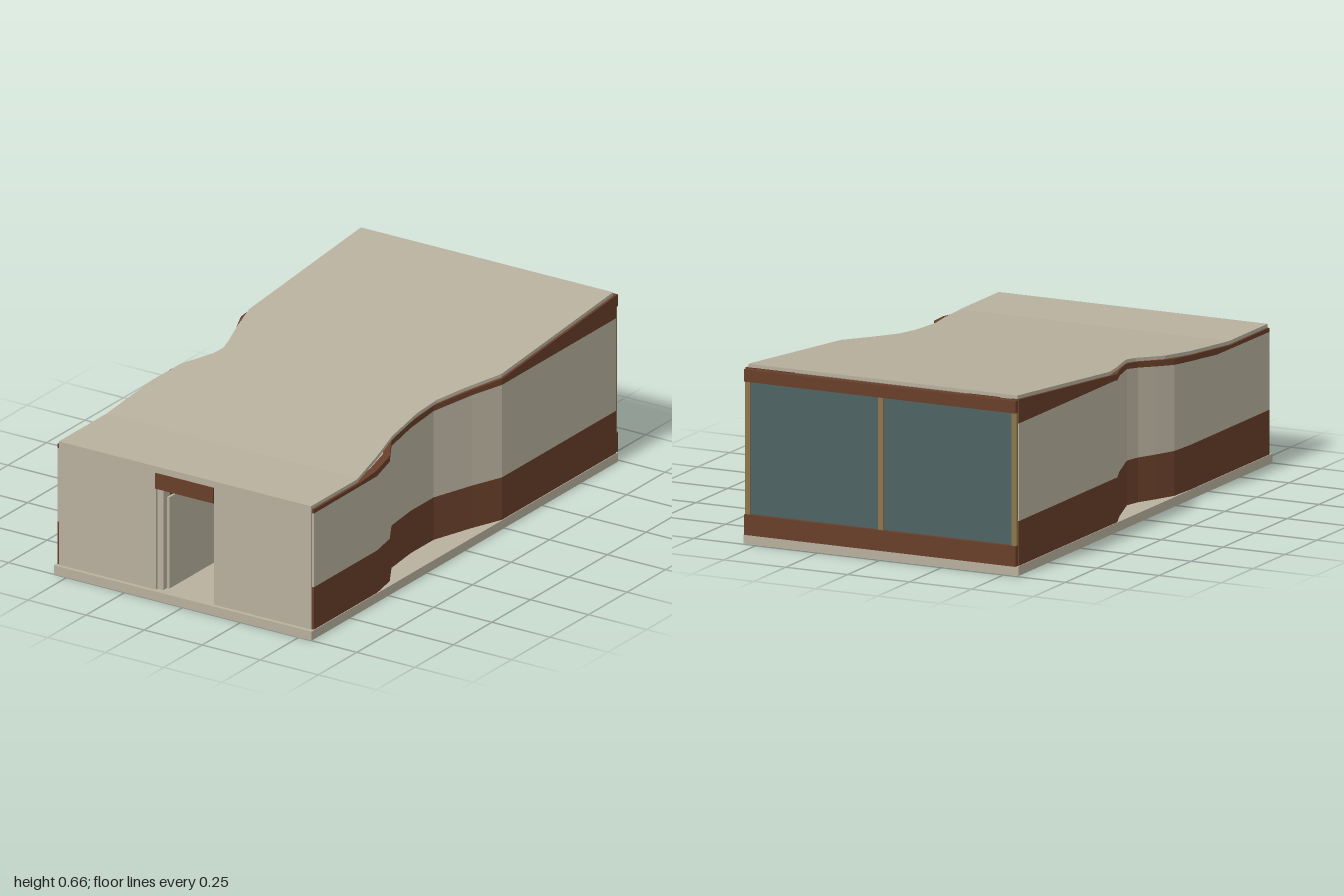
import * as THREE from 'three';

const paint = (name, color) => {
  const m = new THREE.MeshStandardMaterial({ color });
  m.name = name;
  return m;
};

// Linear interpolation along a list of [z, value] pairs, z descending
function along(list, z) {
  if (z >= list[0][0]) return list[0][1];
  for (let i = 1; i < list.length; i++) {
    const [z0, v0] = list[i - 1], [z1, v1] = list[i];
    if (z >= z1) return v0 + (v1 - v0) * (z0 - z) / (z0 - z1);
  }
  return list[list.length - 1][1];
}

// Solid swept from front to back; rect(z) gives [xLeft, xRight, yBottom, yTop]
function sweep(stations, rect) {
  const rings = stations.map(z => {
    const [l, r, b, t] = rect(z);
    return [[l, b, z], [r, b, z], [r, t, z], [l, t, z]];
  });
  const pos = [];
  const quad = (a, b, c, d) => pos.push(...a, ...b, ...c, ...a, ...c, ...d);
  for (let i = 0; i < rings.length - 1; i++) {
    for (let k = 0; k < 4; k++) {
      const n = (k + 1) % 4;
      quad(rings[i][k], rings[i + 1][k], rings[i + 1][n], rings[i][n]);
    }
  }
  quad(...rings[0]);
  quad(...rings[rings.length - 1].slice().reverse());
  const g = new THREE.BufferGeometry();
  g.setAttribute('position', new THREE.Float32BufferAttribute(pos, 3));
  g.computeVertexNormals();
  return g;
}

export function createModel() {
  const house = new THREE.Group();
  house.name = 'house';
  const plaster = paint('beige plaster', 0xb8b09e);
  const timber = paint('brown timber', 0x683e2a);
  const glass = paint('teal glass', 0x4e6264);
  const frame = paint('tan frame', 0x8c774c);

  const add = (name, geometry, material) => {
    const mesh = new THREE.Mesh(geometry, material);
    mesh.name = name;
    house.add(mesh);
  };
  const box = (name, x0, x1, y0, y1, z0, z1, material) => {
    const g = new THREE.BoxGeometry(x1 - x0, y1 - y0, z1 - z0);
    g.translate((x0 + x1) / 2, (y0 + y1) / 2, (z0 + z1) / 2);
    add(name, g, material);
  };

  // Height profiles
  const roofTop = [[0.985, 0.515], [0.68, 0.515], [-0.975, 0.661]];
  const claddingTop = [[0.98, 0.487], [0.57, 0.489], [0.455, 0.5], [0.2, 0.522],
    [-0.12, 0.552], [-0.24, 0.56], [-0.98, 0.56]];
  const roofThick = 0.013;

  // Plan outlines of the pinched side walls and of the roof edges
  const wallLeft = [[0.98, 0.552], [0.57, 0.552], [0.455, 0.53], [0.35, 0.468], [0.2, 0.45],
    [0.05, 0.45], [-0.12, 0.505], [-0.24, 0.552], [-0.98, 0.552]];
  const wallRight = [[0.98, 0.552], [0.36, 0.552], [0.25, 0.545], [0.17, 0.51], [0.1, 0.475],
    [0.04, 0.462], [-0.12, 0.515], [-0.21, 0.552], [-0.98, 0.552]];
  const roofLeft = [[0.985, 0.543], [0.69, 0.543], [0.5, 0.505], [0.34, 0.465], [0.15, 0.445],
    [0.03, 0.45], [-0.1, 0.488], [-0.25, 0.543], [-0.975, 0.543]];
  const roofRight = [[0.985, 0.543], [0.38, 0.543], [0.22, 0.522], [0.1, 0.465], [0.05, 0.457],
    [-0.01, 0.472], [-0.12, 0.508], [-0.25, 0.543], [-0.975, 0.543]];

  // Floor slab
  box('floorSlab', -0.555, 0.555, 0, 0.035, -0.99, 1, plaster);

  // Side walls: timber skirt, plaster band and timber cornice under the roof
  const underside = z => along(roofTop, z) - roofThick;
  const bands = [
    ['Skirt', timber, () => 0.035, () => 0.2],
    ['Band', plaster, () => 0.2, z => along(claddingTop, z)],
    ['Cornice', timber, z => along(claddingTop, z), underside],
  ];
  for (const [side, sign, path] of [['left', 1, wallLeft], ['right', -1, wallRight]]) {
    const stations = [...new Set([...path.map(p => p[0]), ...claddingTop.map(p => p[0]), 0.68])]
      .sort((a, b) => b - a);
    for (const [part, material, low, high] of bands) {
      add(side + 'Wall' + part, sweep(stations, z => {
        const outer = along(path, z), inner = outer - 0.03;
        return sign > 0 ? [inner, outer, low(z), high(z)] : [-outer, -inner, low(z), high(z)];
      }), material);
    }
  }

  // Thin sloping roof following the pinched plan
  const roofStations = [...new Set([...roofLeft, ...roofRight, ...roofTop].map(p => p[0]))]
    .sort((a, b) => b - a);
  add('roof', sweep(roofStations, z => [-along(roofRight, z), along(roofLeft, z),
    underside(z), along(roofTop, z)]), plaster);

  // Front wall with doorway, lintel and fascia
  for (const s of [-1, 1]) {
    const x = [s * 0.125, s * 0.543].sort((a, b) => a - b);
    box('frontWall', x[0], x[1], 0.035, 0.49, 0.955, 0.985, plaster);
  }
  box('frontFascia', -0.543, 0.543, 0.49, 0.513, 0.955, 0.985, plaster);
  box('doorLintel', -0.125, 0.125, 0.43, 0.49, 0.955, 0.99, timber);
  box('doorJamb', -0.125, -0.1, 0.035, 0.43, 0.93, 0.975, plaster);

  // Interior pieces visible through the doorway
  box('partition', -0.1, -0.09, 0.035, 0.39, 0.45, 0.95, plaster);
  box('counter', -0.38, -0.012, 0.035, 0.283, -0.1, 0.2, plaster);
  box('counterTop', -0.385, -0.01, 0.283, 0.29, -0.105, 0.205, timber);
  box('bench', 0.095, 0.4, 0.035, 0.12, -0.6, -0.3, timber);

  // Glazed back wall with sill, beam and posts
  box('backSill', -0.548, 0.548, 0.035, 0.11, -1, -0.97, timber);
  box('backBeam', -0.548, 0.548, 0.6, 0.645, -1, -0.97, timber);
  box('backGlass', -0.53, 0.53, 0.11, 0.6, -0.983, -0.977, glass);
  for (const x of [-0.538, 0, 0.538]) {
    box('windowPost', x - 0.01, x + 0.01, 0.11, 0.6, -0.992, -0.968, frame);
  }
  return house;
}
